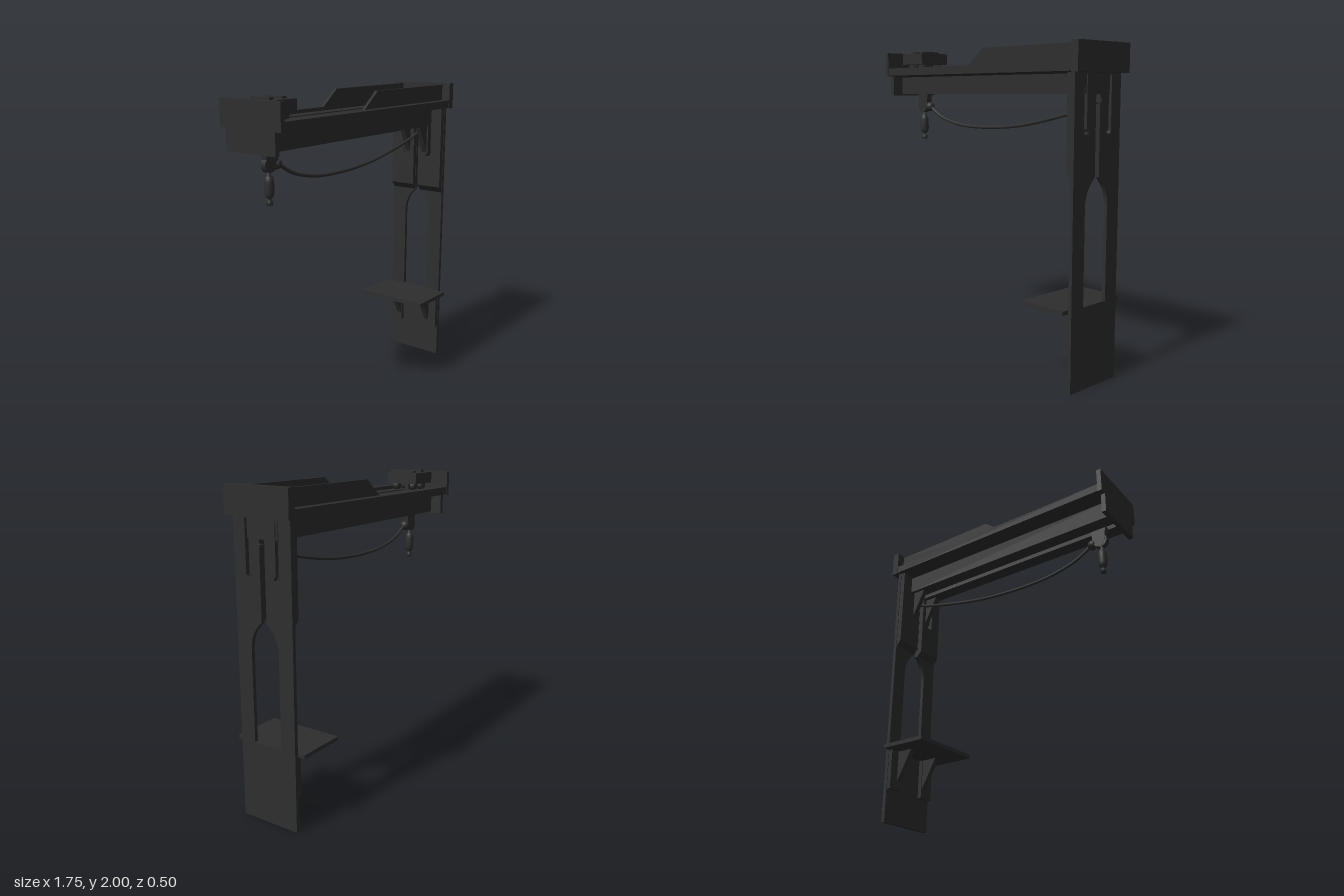
import * as THREE from 'three';

const dark = new THREE.MeshStandardMaterial({ color: 0x2e2e2e });

export function createModel() {
  const model = new THREE.Group();

  const add = (name, geometry) => {
    const mesh = new THREE.Mesh(geometry, dark);
    mesh.name = name;
    model.add(mesh);
    return mesh;
  };
  // Box given by its limits on each axis
  const box = (name, [x0, x1], [y0, y1], [z0, z1]) =>
    add(name, new THREE.BoxGeometry(x1 - x0, y1 - y0, z1 - z0)
      .translate((x0 + x1) / 2, (y0 + y1) / 2, (z0 + z1) / 2));
  const outline = (points) => new THREE.Shape(points.map(([a, b]) => new THREE.Vector2(a, b)));
  const extrude = (shape, depth) =>
    new THREE.ExtrudeGeometry(shape, { depth, bevelEnabled: false, curveSegments: 12 });
  // Side outline (x, y) given a thickness along z
  const plateXY = (name, points, z0, z1) =>
    add(name, extrude(outline(points), z1 - z0).translate(0, 0, z0));
  // Cross-section (z, y) carried along x
  const plateZY = (name, shape, x0, x1) =>
    add(name, extrude(shape, x1 - x0).rotateY(-Math.PI / 2).translate(x1, 0, 0));
  // Calls build with the near and far limits on both sides of the centre
  const bothSides = (z0, z1, build) => {
    build(z0, z1);
    build(-z1, -z0);
  };
  const slot = (side) => outline([
    [0.095, 1.515], [0.082, 1.505], [0.082, 1.49], [0.11, 1.487],
    [0.12, 1.5], [0.12, 1.82], [0.095, 1.82],
  ].map(([z, y]) => [z * side, y]));

  // Column plate with arched opening, cable slit and two side slots
  const column = outline([[-0.203, 0], [0.203, 0], [0.203, 1.84], [-0.203, 1.84]]);
  const arch = new THREE.Path();
  arch.moveTo(-0.1, 0.5);
  arch.lineTo(0.1, 0.5);
  arch.lineTo(0.1, 1.08);
  arch.quadraticCurveTo(0.095, 1.18, 0.018, 1.24);
  arch.lineTo(0.018, 1.71);
  arch.lineTo(-0.018, 1.71);
  arch.lineTo(-0.018, 1.24);
  arch.quadraticCurveTo(-0.095, 1.18, -0.1, 1.08);
  column.holes.push(arch, slot(1), slot(-1));
  plateZY('columnPlate', column, 0.808, 0.832);

  // Thickened column head, chamfered at the bottom
  for (const s of [1, -1]) {
    const head = outline([[0.02, 1.28], [0.2, 1.28], [0.2, 1.83], [0.02, 1.83]].map(([z, y]) => [z * s, y]));
    head.holes.push(slot(s));
    plateZY('columnHead', head, 0.775, 0.808);
  }
  bothSides(0.02, 0.2, (a, b) =>
    plateXY('columnHeadChamfer', [[0.775, 1.28], [0.808, 1.24], [0.808, 1.28]], a, b));
  bothSides(0.05, 0.085, (a, b) =>
    plateXY('beamGusset', [[0.68, 1.715], [0.775, 1.52], [0.775, 1.715]], a, b));

  // Two beam halves: a narrow rail under a wide ledge, with a slit between them
  const section = [
    [0.018, 1.71], [0.11, 1.71], [0.11, 1.825], [0.2, 1.835], [0.225, 1.835],
    [0.225, 1.885], [0.15, 1.885], [0.15, 1.85], [0.105, 1.85], [0.105, 1.87], [0.018, 1.87],
  ];
  for (const s of [1, -1]) {
    plateZY('beamRail', outline(section.map(([z, y]) => [z * s, y])), -0.845, 0.825);
  }

  // Raised guards along the column half of the beam
  bothSides(0.15, 0.17, (a, b) =>
    plateXY('beamGuard', [[-0.08, 1.88], [0.825, 1.88], [0.825, 1.99], [0.06, 1.99]], a, b));

  // End caps
  box('columnEndCap', [0.825, 0.873], [1.83, 2], [-0.228, 0.228]);
  plateZY('freeEndCap', outline([
    [-0.185, 1.7], [0.185, 1.7], [0.185, 1.83], [0.228, 1.83],
    [0.228, 1.99], [-0.228, 1.99], [-0.228, 1.83], [-0.185, 1.83],
  ]), -0.875, -0.845);

  // Trolley riding on the rails
  box('trolleyBody', [-0.832, -0.617], [1.912, 1.985], [-0.112, 0.112]);
  for (const x of [-0.775, -0.672]) {
    box('trolleyRib', [x - 0.018, x + 0.018], [1.985, 1.998], [-0.07, 0.07]);
    for (const z of [0.065, -0.065]) {
      const wheel = add('trolleyWheel', new THREE.CylinderGeometry(0.027, 0.027, 0.03, 20).rotateX(Math.PI / 2));
      wheel.position.set(x, 1.895, z);
    }
  }
  box('trolleyStem', [-0.76, -0.69], [1.7, 1.92], [-0.014, 0.014]);

  // Hanger below the trolley
  plateXY('hanger', [
    [-0.78, 1.72], [-0.765, 1.61], [-0.74, 1.585], [-0.705, 1.59], [-0.685, 1.62], [-0.675, 1.72],
  ], -0.02, 0.02);
  const joint = add('hoseJoint', new THREE.SphereGeometry(0.032, 20, 14));
  joint.position.set(-0.672, 1.622, 0);
  const pivot = add('hangerPivot', new THREE.CylinderGeometry(0.045, 0.045, 0.036, 24).rotateX(Math.PI / 2));
  pivot.position.set(-0.738, 1.625, 0);

  // Handpiece below the pivot
  const handpiece = [
    [0, 1.6], [0.012, 1.595], [0.012, 1.565], [0.024, 1.555], [0.029, 1.53], [0.029, 1.465],
    [0.022, 1.44], [0.01, 1.435], [0.01, 1.42], [0.018, 1.417], [0.018, 1.395], [0, 1.395],
  ].reverse();
  add('handpiece', new THREE.LatheGeometry(handpiece.map(([r, y]) => new THREE.Vector2(r, y)), 20))
    .position.x = -0.738;

  // Sagging hose, passing out through the column slit
  const hosePath = new THREE.CatmullRomCurve3([
    [-0.67, 1.625], [-0.54, 1.553], [-0.36, 1.508], [-0.12, 1.495], [0.2, 1.515],
    [0.5, 1.57], [0.74, 1.632], [0.82, 1.668], [0.872, 1.675],
  ].map(([x, y]) => new THREE.Vector3(x, y, 0)));
  add('hose', new THREE.TubeGeometry(hosePath, 80, 0.011, 10));
  box('hoseClip', [0.832, 0.872], [1.665, 1.687], [-0.02, 0.02]);

  // Shelf and its brackets
  box('shelf', [0.485, 0.808], [0.475, 0.5], [-0.252, 0.252]);
  bothSides(0.1, 0.2, (a, b) => box('bracketStrip', [0.78, 0.808], [0.215, 0.475], [a, b]));
  bothSides(0.105, 0.14, (a, b) =>
    plateXY('shelfBracket', [[0.67, 0.476], [0.78, 0.27], [0.78, 0.476]], a, b));

  return model;
}
